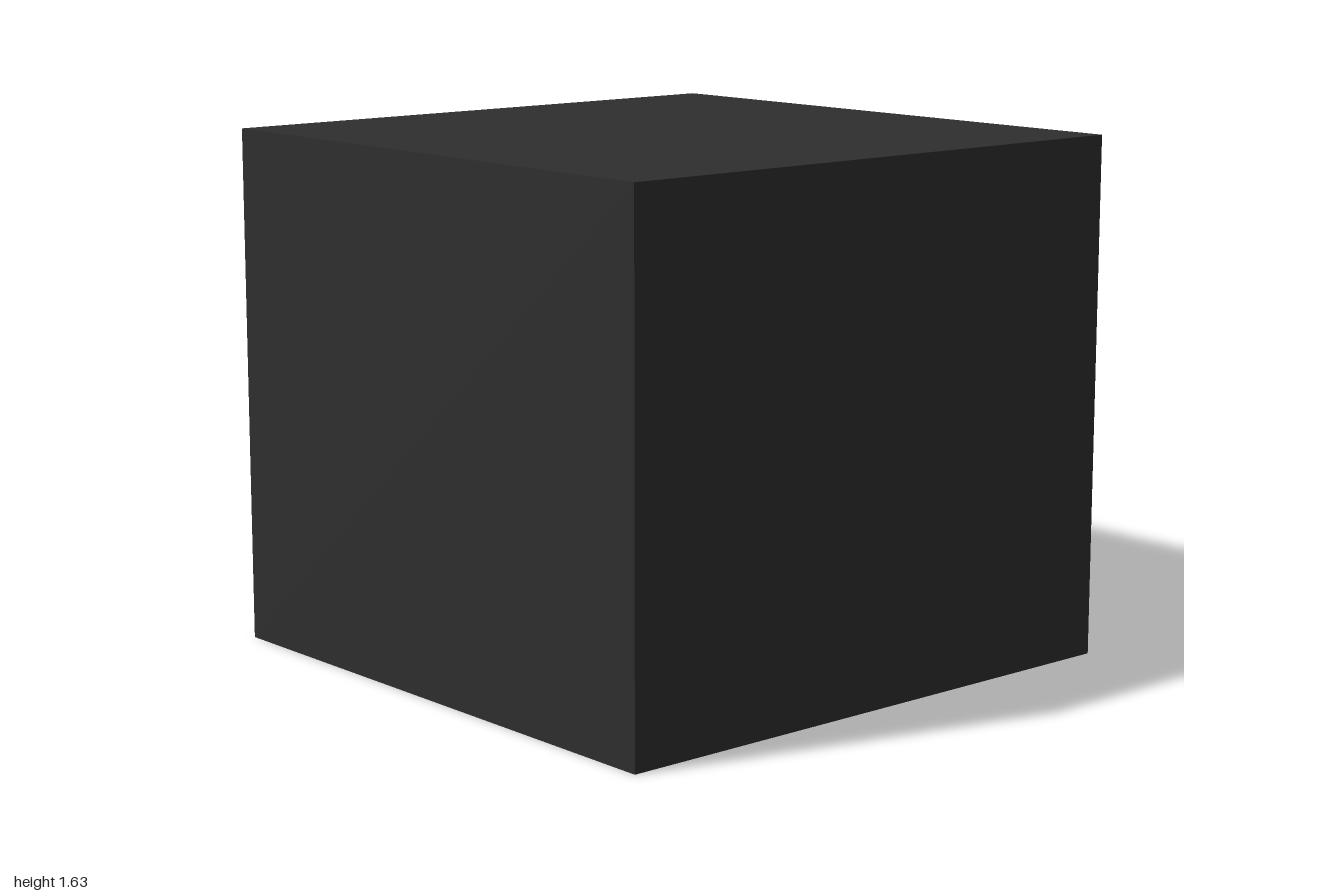
import * as THREE from 'three';

const steel = new THREE.MeshStandardMaterial({ color: 0xaeaeae });
steel.name = 'steel grey';
const black = new THREE.MeshStandardMaterial({ color: 0x2e2e2e });
black.name = 'casing black';

const FRONT = -0.868, BACK = 1, HEIGHT = 1.627, HALF = 0.933;
const WINDOW = { z: 0.78, bottom: 0.12, top: 1.085 };
const CAVITY_BACK = -0.24;

// Box between two corners without its -x face; inward turns the faces to the inside
function openBox(x0, x1, y0, y1, halfZ, inward) {
  const g = new THREE.BoxGeometry(x1 - x0, y1 - y0, halfZ * 2);
  g.translate((x0 + x1) / 2, (y0 + y1) / 2, 0);
  const index = Array.from(g.index.array).filter((_, i) => i < 6 || i >= 12);
  g.setIndex(inward ? index.reverse() : index);
  g.clearGroups();
  g.computeVertexNormals();
  return g;
}

// Rectangle in z, y with the window cut out
function windowShape(halfZ, y0, y1) {
  const rect = (target, z, a, b) =>
    target.moveTo(-z, a).lineTo(z, a).lineTo(z, b).lineTo(-z, b).lineTo(-z, a);
  const shape = rect(new THREE.Shape(), halfZ, y0, y1);
  shape.holes.push(rect(new THREE.Path(), WINDOW.z, WINDOW.bottom, WINDOW.top));
  return shape;
}

// Bar lofted through rings: each section is a centre x, z and an outward direction
function barGeometry(sections, y, r, sides = 24) {
  const pos = [], index = [];
  for (let s = 0; s < sections.length - 1; s++) {
    const base = pos.length / 3;
    for (const [x, z, ux, uz] of [sections[s], sections[s + 1]]) {
      for (let i = 0; i < sides; i++) {
        const a = (i / sides) * Math.PI * 2, c = r * Math.cos(a);
        pos.push(x + c * ux, y + r * Math.sin(a), z + c * uz);
      }
    }
    for (let i = 0; i < sides; i++) {
      const a = base + i, b = base + (i + 1) % sides;
      index.push(a, a + sides, b, b, a + sides, b + sides);
    }
  }
  const g = new THREE.BufferGeometry();
  g.setAttribute('position', new THREE.Float32BufferAttribute(pos, 3));
  g.setIndex(index);
  g.computeVertexNormals();
  return g;
}

export function createModel() {
  const model = new THREE.Group();
  model.name = 'oven';
  const add = (name, geometry, material) => {
    const mesh = new THREE.Mesh(geometry, material);
    mesh.name = name;
    model.add(mesh);
    return mesh;
  };

  // Casing and the lining of the cooking space
  add('casing', openBox(FRONT, BACK, 0, HEIGHT, HALF, false), black);
  add('cavity', openBox(FRONT, CAVITY_BACK, WINDOW.bottom, WINDOW.top, WINDOW.z, true), steel);

  // Front panel and raised door frame, both turned to face -x
  const panel = new THREE.ShapeGeometry(windowShape(HALF, 0, HEIGHT));
  add('frontPanel', panel.rotateY(-Math.PI / 2).translate(FRONT, 0, 0), steel);
  const door = new THREE.ExtrudeGeometry(windowShape(0.868, 0.063, 1.333), { depth: 0.012, bevelEnabled: false });
  add('doorFrame', door.rotateY(-Math.PI / 2).translate(FRONT, 0, 0), steel);

  // Handle bar with both ends bent back to the door
  const mid = -0.02;
  add('handle', barGeometry([
    [-0.88, mid - 0.68, 0, -1],
    [-0.955, mid - 0.425, -1, 0],
    [-0.955, mid + 0.425, -1, 0],
    [-0.88, mid + 0.68, 0, 1],
  ], 1.215, 0.045), steel);

  // Control knobs
  const knob = new THREE.CylinderGeometry(0.06, 0.06, 0.056, 32).rotateZ(Math.PI / 2);
  [-0.688, -0.433, -0.152, 0.083, 0.762].forEach((z, i) => {
    add(`knob${i + 1}`, knob, steel).position.set(FRONT - 0.028, 1.477, z);
  });

  return model;
}
